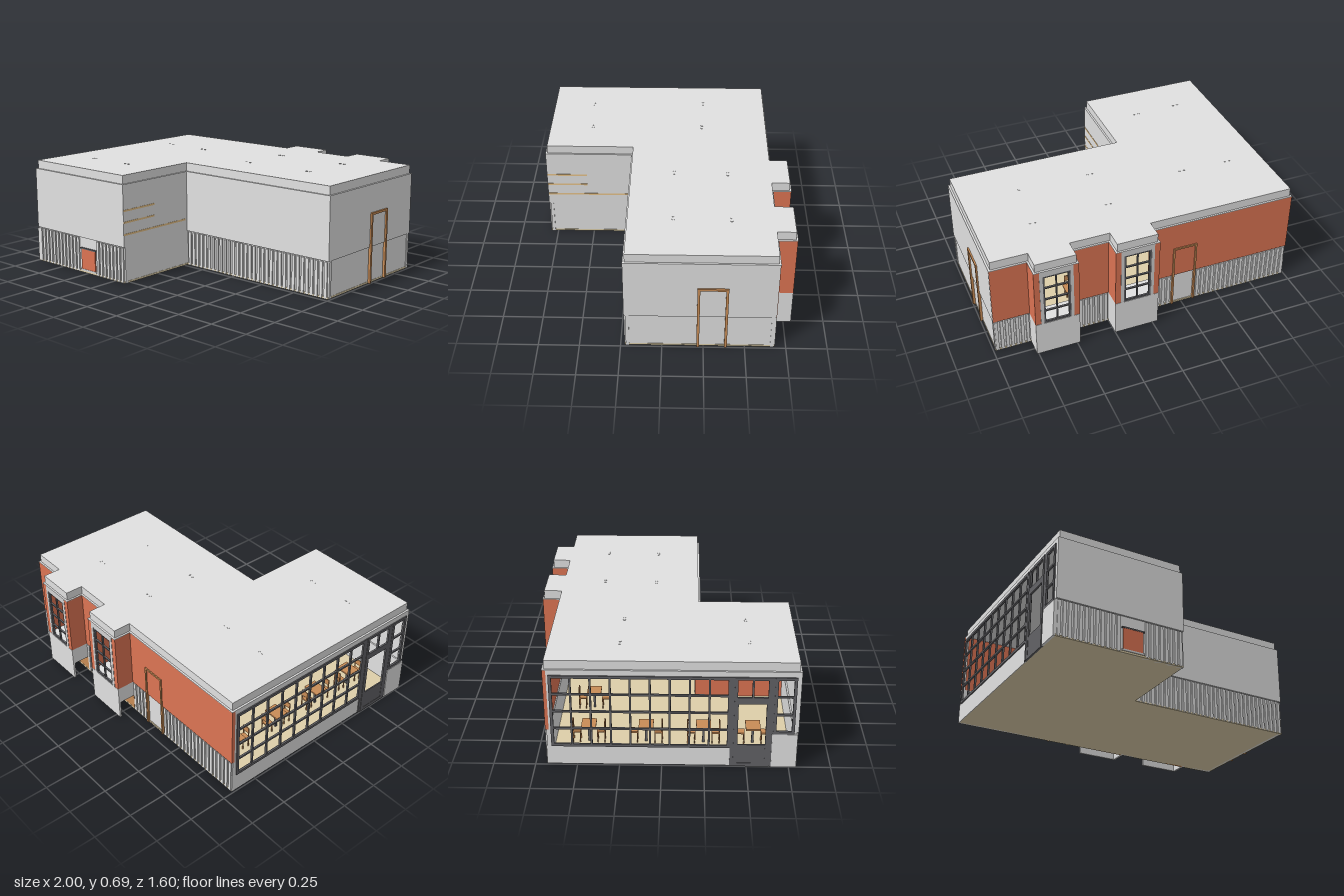
import * as THREE from 'three';

const colours = {
  wallGrey: 0xe1e1e1, brickOrange: 0xdc7453, frameDark: 0x626266, trimBrown: 0xc88c56,
  shelfWood: 0xebc68c, floorBeige: 0xddcea9, windowGrey: 0xd2d2d2,
};
const mats = {};
for (const [name, color] of Object.entries(colours)) {
  mats[name] = new THREE.MeshStandardMaterial({ color });
  mats[name].name = name;
}

// Box given by its lower and upper limits on each axis
function box(parent, name, mat, x0, x1, y0, y1, z0, z1) {
  const mesh = new THREE.Mesh(new THREE.BoxGeometry(x1 - x0, y1 - y0, z1 - z0), mats[mat]);
  mesh.position.set((x0 + x1) / 2, (y0 + y1) / 2, (z0 + z1) / 2);
  mesh.name = name;
  parent.add(mesh);
}

// Horizontal slab from an outline of [x, z] corners
function slab(parent, name, mat, outline, y, height) {
  const shape = new THREE.Shape(outline.map(([x, z]) => new THREE.Vector2(x, -z)));
  const geo = new THREE.ExtrudeGeometry(shape, { depth: height, bevelEnabled: false });
  geo.rotateX(-Math.PI / 2);
  const mesh = new THREE.Mesh(geo, mats[mat]);
  mesh.position.y = y;
  mesh.name = name;
  parent.add(mesh);
}

const BAYS = [[-0.035, 0.25], [0.48, 0.76]];
const T = 0.02, WAIN = 0.235, TOP = 0.63;

// L-shaped footprint, pulled in by d, with or without the rear bays
function footprint(d, bays) {
  const back = -0.685 + d;
  const pts = [[-0.99 + d, 0.8 - d], [-0.155 - d, 0.8 - d], [-0.155 - d, 0.228 - d], [0.99 - d, 0.228 - d], [0.99 - d, back]];
  if (bays) {
    for (const [a, b] of [...BAYS].reverse()) {
      pts.push([b - d, back], [b - d, -0.8 + d], [a + d, -0.8 + d], [a + d, back]);
    }
  }
  pts.push([-0.99 + d, back]);
  return pts;
}

// Ribbed cladding along x; dir is the way the wall faces on z
function ribs(parent, x0, x1, z, dir) {
  const g = new THREE.Group();
  g.name = 'ribbedCladding';
  const n = Math.max(1, Math.round((x1 - x0) / 0.034)), p = (x1 - x0) / n;
  for (let i = 0; i < n; i++) {
    const x = x0 + p * (i + 0.2), zb = z + dir * 0.009;
    box(g, 'rib', 'wallGrey', x, x + p * 0.6, 0.004, WAIN - 0.006, Math.min(z, zb), Math.max(z, zb));
  }
  parent.add(g);
}

// Window grid in a plane: axis 'x' or 'z' is the horizontal direction
function grid(parent, name, axis, a0, a1, y0, y1, plane, cols, rows, bar) {
  const g = new THREE.Group();
  g.name = name;
  const put = (a, b, c, d) => axis === 'z'
    ? box(g, 'bar', 'frameDark', plane, plane + 0.012, c, d, a, b)
    : box(g, 'bar', 'frameDark', a, b, c, d, plane, plane + 0.012);
  for (let i = 0; i <= cols; i++) {
    const w = i % cols === 0 ? bar : bar * 0.65, c = a0 + bar / 2 + (a1 - a0 - bar) * i / cols;
    put(c - w / 2, c + w / 2, y0, y1);
  }
  for (let j = 0; j <= rows; j++) {
    const w = j % rows === 0 ? bar : bar * 0.65, c = y0 + bar / 2 + (y1 - y0 - bar) * j / rows;
    put(a0, a1, c - w / 2, c + w / 2);
  }
  parent.add(g);
}

function chair(parent, x, z, turn) {
  const g = new THREE.Group();
  g.name = 'chair';
  box(g, 'seat', 'trimBrown', -0.025, 0.025, 0.07, 0.08, -0.025, 0.025);
  box(g, 'backrest', 'trimBrown', -0.025, 0.025, 0.105, 0.145, 0.02, 0.026);
  for (const sx of [-1, 1]) for (const sz of [-1, 1]) {
    const cx = sx * 0.022, cz = sz * 0.022;
    box(g, 'leg', 'trimBrown', cx - 0.003, cx + 0.003, 0, sz > 0 ? 0.145 : 0.07, cz - 0.003, cz + 0.003);
  }
  g.position.set(x, 0.012, z);
  g.rotation.y = turn;
  parent.add(g);
}

function table(parent, x, z) {
  const g = new THREE.Group();
  g.name = 'table';
  box(g, 'tabletop', 'trimBrown', x - 0.055, x + 0.055, 0.125, 0.135, z - 0.045, z + 0.045);
  box(g, 'pedestal', 'frameDark', x - 0.007, x + 0.007, 0.012, 0.125, z - 0.007, z + 0.007);
  chair(g, x, z + 0.075, 0);
  chair(g, x, z - 0.075, Math.PI);
  parent.add(g);
}

// Plain wall: upper part flush, lower part set back by dx, dz
function wall(parent, name, x0, x1, z0, z1, dx, dz) {
  box(parent, name + 'Upper', 'wallGrey', x0, x1, WAIN, TOP, z0, z1);
  box(parent, name + 'Lower', 'wallGrey', x0 - dx, x1 - dx, 0, WAIN, z0 - dz, z1 - dz);
}

export function createModel() {
  const m = new THREE.Group();
  m.name = 'restaurantBuilding';

  // Floor, ledge and flat roof
  slab(m, 'floor', 'floorBeige', footprint(0.004, false), 0, 0.012);
  slab(m, 'ledge', 'wallGrey', footprint(0, true), TOP, 0.004);
  slab(m, 'cornice', 'wallGrey', footprint(0.012, true), TOP + 0.004, 0.055);

  // Plain walls and ribbed cladding
  wall(m, 'wingFrontWall', -0.99, -0.155, 0.8 - T, 0.8, 0, 0.01);
  wall(m, 'wingSideWall', -0.155 - T, -0.155, 0.228 - T, 0.8 - T, 0.006, 0);
  wall(m, 'frontWall', -0.155, 0.99, 0.228 - T, 0.228, 0, 0.01);
  wall(m, 'sideWall', 0.99 - T, 0.99, -0.68, 0.228 - T, 0.006, 0);
  ribs(m, -0.985, -0.575, 0.79, 1);
  ribs(m, -0.42, -0.16, 0.79, 1);
  ribs(m, -0.15, 0.985, 0.218, 1);

  // Coloured linings inside
  box(m, 'wingLining', 'brickOrange', -0.19, -0.182, 0.012, 0.4, 0.2, 0.77);
  box(m, 'sideLining', 'trimBrown', 0.955, 0.962, 0.012, 0.5, -0.64, 0.1);

  // Rear wall between the bays
  for (const [a, b] of [[-0.99, BAYS[0][0]], [BAYS[0][1], BAYS[1][0]], [BAYS[1][1], 0.988]]) {
    box(m, 'rearWallUpper', 'brickOrange', a, b, WAIN, TOP, -0.683, -0.662);
    box(m, 'rearWallLower', 'wallGrey', a, b, 0, WAIN, -0.675, -0.655);
  }
  ribs(m, -0.99, -0.345, -0.675, -1);
  ribs(m, -0.175, BAYS[0][0], -0.675, -1);
  ribs(m, BAYS[0][1], BAYS[1][0], -0.675, -1);
  ribs(m, BAYS[1][1], 0.988, -0.675, -1);

  // Rear bays, hollow under the window ledge
  for (const [a, b] of BAYS) {
    const bay = new THREE.Group();
    bay.name = 'windowBay';
    box(bay, 'bayBase', 'wallGrey', a, b, 0, 0.225, -0.798, -0.785);
    box(bay, 'baseSide', 'wallGrey', b - 0.014, b, 0, 0.225, -0.785, -0.655);
    box(bay, 'baseSide', 'wallGrey', a, a + 0.014, 0.12, 0.225, -0.785, -0.655);
    box(bay, 'benchBack', 'trimBrown', a, b - 0.015, 0, 0.22, -0.68, -0.66);
    box(bay, 'baseLedge', 'wallGrey', a, b, 0.225, WAIN, -0.8, -0.66);
    for (const x of [a, b - 0.014]) box(bay, 'baySide', 'brickOrange', x, x + 0.014, WAIN, TOP, -0.785, -0.665);
    for (const [p, q] of [[a, a + 0.035], [b - 0.035, b]]) box(bay, 'pilaster', 'brickOrange', p, q, WAIN, TOP, -0.798, -0.785);
    for (const [p, q] of [[a + 0.035, a + 0.055], [b - 0.055, b - 0.035]]) box(bay, 'windowJamb', 'windowGrey', p, q, WAIN, TOP, -0.8, -0.785);
    box(bay, 'lintel', 'windowGrey', a + 0.055, b - 0.055, 0.595, TOP, -0.8, -0.785);
    grid(bay, 'bayWindow', 'x', a + 0.055, b - 0.055, WAIN, 0.595, -0.797, 2, 4, 0.012);
    m.add(bay);
  }

  // Door frames on the rear and side walls
  for (const [p, q] of [[-0.34, -0.328], [-0.192, -0.18]]) box(m, 'rearDoorJamb', 'trimBrown', p, q, 0, 0.45, -0.69, -0.67);
  box(m, 'rearDoorHead', 'trimBrown', -0.34, -0.18, 0.438, 0.45, -0.69, -0.67);
  for (const [p, q] of [[-0.393, -0.377], [-0.225, -0.209]]) box(m, 'sideDoorJamb', 'trimBrown', 0.975, 1, 0, 0.455, p, q);
  box(m, 'sideDoorHead', 'trimBrown', 0.975, 1, 0.44, 0.455, -0.393, -0.209);

  // Glazed shopfront
  box(m, 'shopfrontBase', 'wallGrey', -0.99, -0.97, 0, 0.125, -0.68, 0.41);
  box(m, 'shopfrontCornerBase', 'wallGrey', -1, -0.97, 0, 0.225, 0.645, 0.795);
  box(m, 'shopfrontHead', 'wallGrey', -0.99, -0.97, 0.6, TOP, -0.665, 0.79);
  box(m, 'cornerPost', 'wallGrey', -0.99, -0.97, 0.125, 0.6, -0.665, -0.65);
  box(m, 'cornerPost', 'wallGrey', -0.99, -0.97, 0.225, 0.6, 0.77, 0.79);
  grid(m, 'shopWindow', 'z', -0.65, 0.4, 0.125, 0.6, -0.997, 9, 4, 0.018);
  grid(m, 'cornerWindow', 'z', 0.65, 0.775, 0.225, 0.6, -0.997, 1, 3, 0.018);
  grid(m, 'shopDoor', 'z', 0.42, 0.63, 0, 0.45, -0.998, 1, 1, 0.024);
  grid(m, 'transom', 'z', 0.42, 0.63, 0.45, 0.6, -0.998, 2, 1, 0.018);
  box(m, 'doorKickPanel', 'frameDark', -0.996, -0.988, 0, 0.15, 0.43, 0.62);
  for (const [p, q] of [[0.4, 0.42], [0.63, 0.65]]) box(m, 'doorPost', 'frameDark', -0.995, -0.975, 0, 0.6, p, q);

  // Service hatch in the wing front
  box(m, 'hatchPanel', 'brickOrange', -0.56, -0.43, 0.022, 0.16, 0.785, 0.798);
  box(m, 'hatchCap', 'frameDark', -0.57, -0.42, 0.157, 0.166, 0.785, 0.8);
  box(m, 'hatchSill', 'windowGrey', -0.57, -0.42, 0.012, 0.024, 0.785, 0.8);

  // Shelf edges on the wing side wall
  for (const [y, z] of [[0.315, 0.245], [0.393, 0.53], [0.468, 0.53]]) {
    box(m, 'shelfEdge', 'shelfWood', -0.16, -0.153, y - 0.006, y + 0.006, z, 0.798);
  }

  // Paired lamp fittings on the roof
  const lamp = new THREE.CylinderGeometry(0.008, 0.008, 0.004, 12);
  for (const [x, z] of [[-0.75, -0.25], [-0.43, -0.24], [0.14, -0.4], [0.63, -0.41], [0.13, -0.06], [0.62, -0.06], [-0.73, 0.51], [-0.43, 0.5]]) {
    for (const s of [-0.016, 0.016]) {
      const f = new THREE.Mesh(lamp, mats.wallGrey);
      f.name = 'lampFitting';
      f.position.set(x + s, 0.689, z);
      m.add(f);
    }
  }

  // Interior furniture
  for (const z of [-0.45, -0.1, 0.25, 0.55]) table(m, -0.75, z);
  for (const x of [-0.35, 0.12, 0.4, 0.65]) table(m, x, -0.45);
  return m;
}
